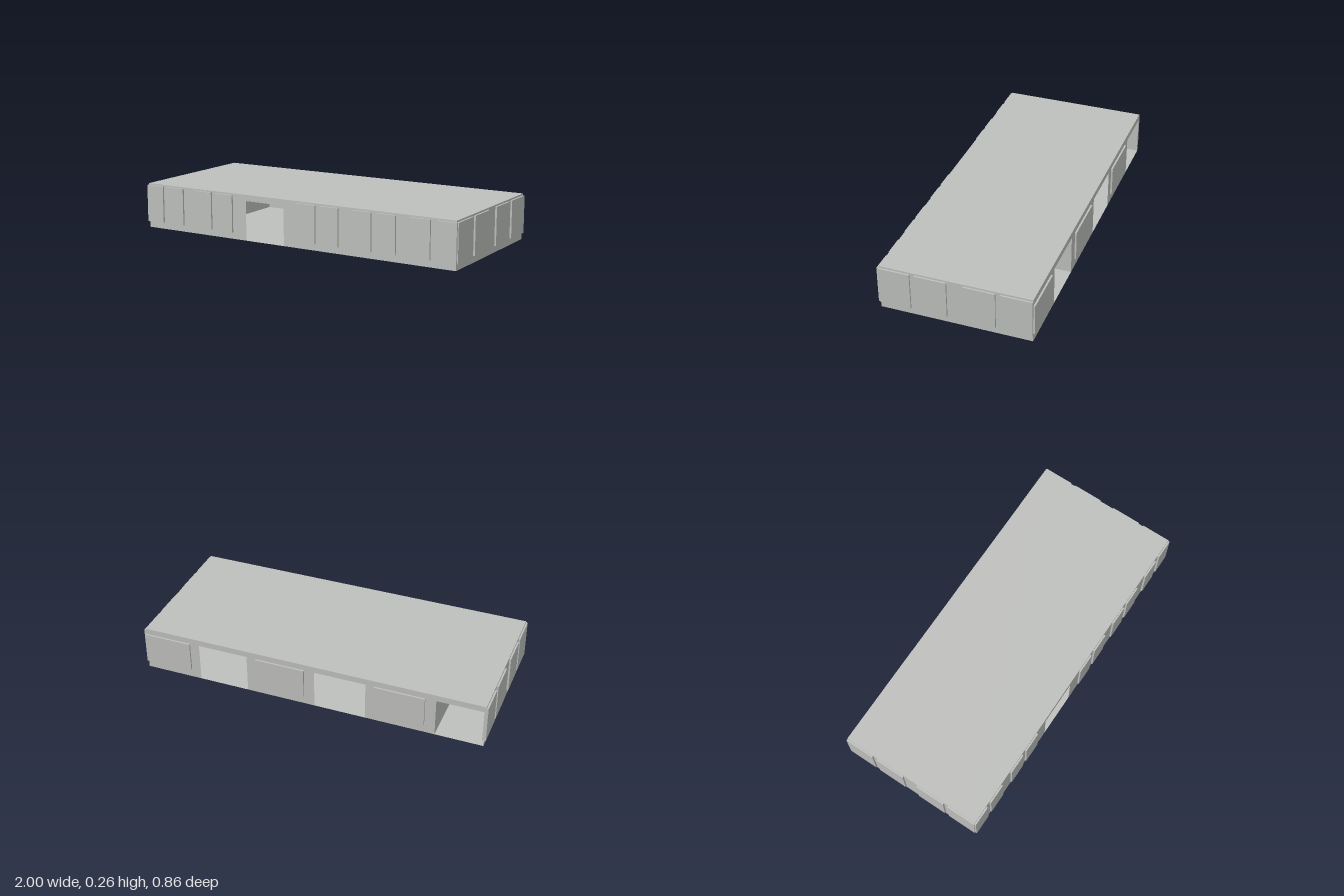
import * as THREE from 'three';

const HX = 0.99, HZ = 0.42, H = 0.26, DOOR = 0.225, T = 0.02;

export function createModel() {
  const model = new THREE.Group();
  model.name = 'building';
  const grey = new THREE.MeshStandardMaterial({ color: 0xbec0bd, side: THREE.DoubleSide });
  grey.name = 'plain grey';

  const add = (name, geometry, x = 0, y = 0, z = 0, parent = model) => {
    const mesh = new THREE.Mesh(geometry, grey);
    mesh.name = name;
    mesh.position.set(x, y, z);
    parent.add(mesh);
    return mesh;
  };

  // Thin long wall with doorways cut up from the floor
  const longWall = (name, z, doors) => {
    const s = new THREE.Shape();
    s.moveTo(-HX, H);
    s.lineTo(-HX, 0);
    for (const [a, b] of doors) {
      s.lineTo(a, 0);
      s.lineTo(a, DOOR);
      s.lineTo(b, DOOR);
      s.lineTo(b, 0);
    }
    s.lineTo(HX, 0);
    s.lineTo(HX, H);
    const geometry = new THREE.ShapeGeometry(s);
    if (z < 0) { // face the back outward
      geometry.scale(-1, 1, 1);
      geometry.rotateY(Math.PI);
      const idx = geometry.index.array;
      for (let i = 0; i < idx.length; i += 3) [idx[i], idx[i + 1]] = [idx[i + 1], idx[i]];
      geometry.computeVertexNormals();
    }
    add(name, geometry, 0, 0, z);
  };
  longWall('frontWall', HZ, [[-0.3, -0.05]]);

  // Back wall in panels, since its last doorway reaches the corner
  const backPanel = (name, a, b, y0, y1) =>
    add(name, new THREE.PlaneGeometry(b - a, y1 - y0), (a + b) / 2, (y0 + y1) / 2, -HZ).rotation.y = Math.PI;
  for (const [a, b] of [[-0.72, -0.325], [-0.03, 0.37], [0.66, HX]]) backPanel('backWall', a, b, 0, DOOR);
  backPanel('backLintel', -HX, HX, DOOR, H);

  // Floor and roof
  add('floor', new THREE.PlaneGeometry(2 * HX, 2 * HZ)).rotation.x = Math.PI / 2;
  add('roof', new THREE.PlaneGeometry(2 * HX, 2 * HZ), 0, H, 0).rotation.x = -Math.PI / 2;

  // End walls and the two inner partitions
  const crossWall = (name, x, turn) => {
    add(name, new THREE.PlaneGeometry(2 * HZ, H), x, H / 2, 0).rotation.y = turn * Math.PI / 2;
  };
  crossWall('leftWall', HX, 1);
  crossWall('rightWall', -HX, -1);
  crossWall('leftPartition', 0.37, 1);
  crossWall('rightPartition', -0.72, -1);

  // Window slabs set through the walls
  const windows = new THREE.Group();
  windows.name = 'windows';
  model.add(windows);
  const longWindow = (name, a, b, y0, y1, z) =>
    add(name, new THREE.BoxGeometry(b - a, y1 - y0, T), (a + b) / 2, (y0 + y1) / 2, z, windows);

  const frontSpans = [
    [-0.995, -0.88], [-0.85, -0.735], [-0.65, -0.535], [-0.505, -0.39],
    [0.04, 0.155], [0.185, 0.3], [0.385, 0.5], [0.53, 0.645], [0.73, 0.845], [0.88, 0.995],
  ];
  for (const [a, b] of frontSpans) longWindow('frontWindow', a, b, 0.037, 0.25, HZ);

  const backSpans = [[-0.66, -0.375], [0.03, 0.315], [0.715, 0.99]];
  for (const [a, b] of backSpans) longWindow('backWindow', a, b, 0.05, 0.225, -HZ);

  for (const side of [-1, 1]) {
    for (const end of [-1, 1]) {
      for (const [a, b] of [[0.045, 0.22], [0.247, 0.42]]) {
        add('endWindow', new THREE.BoxGeometry(T, 0.213, b - a), side * HX, 0.1435, end * (a + b) / 2, windows);
      }
    }
  }
  return model;
}
